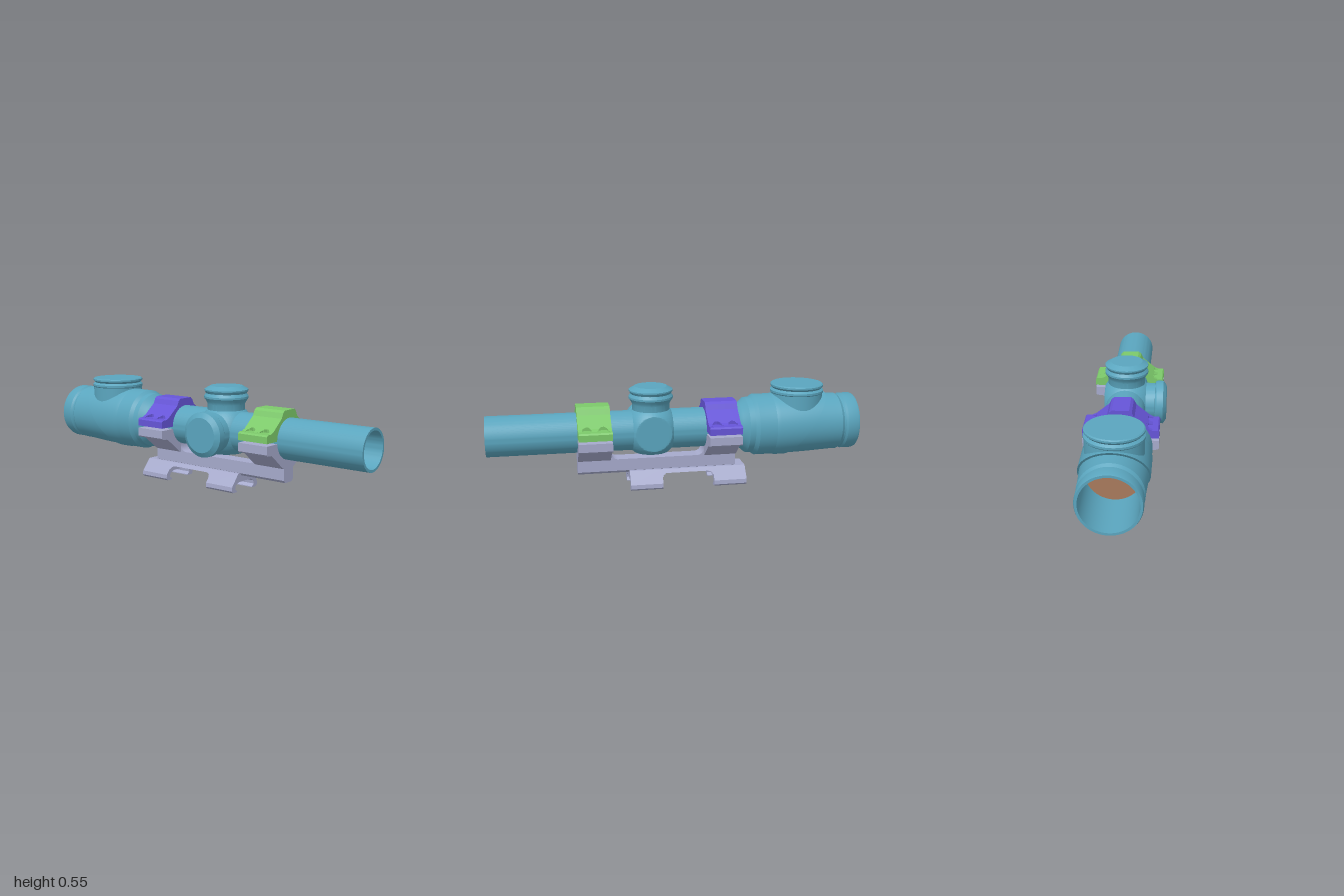
import * as THREE from 'three';
import { toCreasedNormals } from 'three/addons/utils/BufferGeometryUtils.js';

const AXIS_Y = 0.311, AXIS_Z = -0.012;
const mat = (color) => new THREE.MeshStandardMaterial({ color });
const teal = mat(0x5aa5be), lavender = mat(0xa6aacc), purple = mat(0x6655d8);
const green = mat(0x7cc96a), brown = mat(0xa87a5c);

function add(parent, name, geometry, material, x = 0, y = 0, z = 0) {
  const mesh = new THREE.Mesh(geometry, material);
  mesh.name = name;
  mesh.position.set(x, y, z);
  parent.add(mesh);
  return mesh;
}

// profile points are [radius, height along the axis], ascending for an outer skin
function lathe(points, segments = 72) {
  return new THREE.LatheGeometry(points.map(([r, h]) => new THREE.Vector2(r, h)), segments);
}
const crease = (g) => toCreasedNormals(g, 0.45);
const alongX = (g) => crease(g.rotateZ(-Math.PI / 2));

// mirrors half an outline, listed from the top down, into a full loop
function mirrored(half) {
  return [...half, ...half.slice().reverse().map(([u, y]) => [-u, y])];
}
function shapeOf(points) {
  return new THREE.Shape(points.map(([u, y]) => new THREE.Vector2(u, y)));
}
// extrudes a cross-section from x0 to x1
function sweepX(shape, x0, x1) {
  return new THREE.ExtrudeGeometry(shape, { depth: x1 - x0, bevelEnabled: false, curveSegments: 40 })
    .rotateY(Math.PI / 2).translate(x0, 0, AXIS_Z);
}

// upper clamp section; d is how far the screw seat cuts into the slope
function capShape(d) {
  const u = 0.16 - d;
  const top = u < 0.14 ? 0.363 + (0.14 - u) * 0.814 : 0.354 + (0.16 - u) * 0.45;
  const half = [[0.043, 0.458], [0.057, 0.447], [0.07, 0.42]];
  if (u > 0.14) half.push([0.14, 0.363]);
  half.push([u, top], [u, 0.3535], [0.188, 0.353], [0.195, 0.345], [0.195, 0.311]);
  const s = new THREE.Shape();
  half.slice().reverse().forEach(([a, y], i) => (i ? s.lineTo(a, y) : s.moveTo(a, y)));
  half.forEach(([a, y]) => s.lineTo(-a, y));
  s.lineTo(-0.107, AXIS_Y);
  s.absarc(0, AXIS_Y, 0.107, Math.PI, 0, true);
  return s;
}

// upper clamp, sliced along x so that the screw seats are round
function ringCap(name, x0, material) {
  const group = new THREE.Group();
  group.name = name;
  const r = 0.025, steps = 10;
  let x = x0;
  for (const c of [x0 + 0.045, x0 + 0.13]) {
    add(group, 'capBlock', sweepX(capShape(0), x, c - r), material);
    for (let i = 0; i < steps; i++) {
      const a = c - r + (2 * r * i) / steps, b = a + (2 * r) / steps;
      const m = (a + b) / 2 - c;
      add(group, 'screwSeat', sweepX(capShape(0.005 + Math.sqrt(r * r - m * m)), a, b), material);
    }
    x = c + r;
  }
  add(group, 'capBlock', sweepX(capShape(0), x, x0 + 0.175), material);
  return group;
}

function cradleShape() {
  const half = [[0.195, 0.298], [0.195, 0.255], [0.189, 0.248], [0.157, 0.246], [0.138, 0.234],
    [0.062, 0.172], [0.042, 0.16]];
  const s = shapeOf(mirrored(half));
  const a = Math.asin(0.013 / 0.107);
  s.lineTo(-0.107 * Math.cos(a), 0.298);
  s.absarc(0, AXIS_Y, 0.107, Math.PI + a, 2 * Math.PI - a, false);
  return s;
}

export function createModel() {
  const model = new THREE.Group();
  const scope = new THREE.Group();
  scope.name = 'scope';
  const mount = new THREE.Group();
  mount.name = 'mount';
  model.add(scope, mount);

  // hollow tube with eyepiece
  const body = [
    [0.138, -1], [0.15, -1], [0.154, -0.99], [0.154, -0.935], [0.146, -0.925], [0.146, -0.915],
    [0.156, -0.9], [0.156, -0.86], [0.163, -0.72], [0.168, -0.55], [0.167, -0.53], [0.167, -0.435],
    [0.153, -0.415], [0.151, -0.385], [0.125, -0.355], [0.118, -0.345], [0.107, -0.335], [0.107, 1],
    [0.094, 1], [0.094, 0.65], [0, 0.65],
  ];
  add(scope, 'mainTube', alongX(lathe(body)), teal, 0, AXIS_Y, AXIS_Z);
  add(scope, 'eyepieceBore', alongX(lathe([[0, -0.7], [0.138, -0.7], [0.138, -1]])), teal, 0, AXIS_Y, AXIS_Z);
  add(scope, 'frontLens', alongX(lathe([[0.094, 0.66], [0, 0.66]])), brown, 0, AXIS_Y, AXIS_Z);
  add(scope, 'rearLens', alongX(lathe([[0, -0.71], [0.138, -0.71]])), brown, 0, AXIS_Y, AXIS_Z);

  // swollen sleeve with a slanted rear edge
  const sleeve = lathe([[0.15, -0.716], [0.171, -0.716], [0.171, -0.55], [0.167, -0.53]])
    .rotateZ(-Math.PI / 2);
  const sp = sleeve.attributes.position;
  for (let i = 0; i < sp.count; i++) {
    if (sp.getX(i) < -0.65) sp.setX(i, -0.716 - 0.698 * sp.getY(i));
  }
  add(scope, 'slantedSleeve', crease(sleeve), teal, 0, AXIS_Y, AXIS_Z);

  // capped boss on the eyepiece
  add(scope, 'eyepieceCap', crease(lathe([
    [0.141, 0.35], [0.141, 0.485], [0.145, 0.49], [0.145, 0.501], [0.133, 0.511],
    [0.143, 0.522], [0.143, 0.531], [0.137, 0.536], [0, 0.536],
  ])), teal, -0.68, 0, AXIS_Z);

  // turret housing: a ball flattened on six sides
  const ball = new THREE.SphereGeometry(0.151, 128, 96);
  const bp = ball.attributes.position;
  const flat = (v) => THREE.MathUtils.clamp(v, -0.117, 0.117);
  for (let i = 0; i < bp.count; i++) {
    bp.setXYZ(i, flat(bp.getX(i)), flat(bp.getY(i)), flat(bp.getZ(i)));
  }
  add(scope, 'turretHousing', crease(ball), teal, 0.13, AXIS_Y, AXIS_Z);

  // top and side turrets
  add(scope, 'topTurret', crease(lathe([
    [0.1, 0.4], [0.1, 0.455], [0.107, 0.47], [0.118, 0.486], [0.118, 0.496], [0.108, 0.511],
    [0.117, 0.525], [0.117, 0.532], [0.086, 0.55], [0, 0.55],
  ])), teal, 0.13, 0, AXIS_Z);
  add(scope, 'sideTurret', crease(lathe([
    [0.105, 0.08], [0.105, 0.146], [0.113, 0.148], [0.118, 0.156], [0.118, 0.191],
    [0.092, 0.208], [0, 0.208],
  ]).rotateX(Math.PI / 2)), teal, 0.13, AXIS_Y, 0);

  // ring clamps and cradles
  mount.add(ringCap('rearRingCap', -0.33, purple), ringCap('frontRingCap', 0.355, green));
  for (const [name, x0] of [['rearCradle', -0.33], ['frontCradle', 0.355]]) {
    add(mount, name, sweepX(cradleShape(), x0, x0 + 0.175), lavender);
  }

  // beam joining the cradles, with filleted corners
  add(mount, 'beam', sweepX(shapeOf(mirrored([[0.042, 0.163], [0.042, 0.099], [0.028, 0.085]])),
    -0.33, 0.53), lavender);
  for (const [x, dir] of [[-0.155, 1], [0.355, -1]]) {
    const f = new THREE.Shape();
    f.moveTo(0, 0.163);
    f.lineTo(dir * 0.04, 0.163);
    f.quadraticCurveTo(dir * 0.004, 0.165, 0, 0.203);
    add(mount, 'beamFillet', new THREE.ExtrudeGeometry(f, { depth: 0.084, bevelEnabled: false }),
      lavender, x, 0, AXIS_Z - 0.042);
  }

  // rail base: two dovetail feet and an arched bridge
  const foot = shapeOf(mirrored([
    [0.057, 0.098], [0.11, 0.034], [0.112, 0.012], [0.102, 0.002], [0.066, 0.002], [0.066, 0.006],
    [0.083, 0.019], [0.081, 0.037], [0.05, 0.052],
  ]));
  const bridge = (h) => shapeOf(mirrored([[0.057, 0.098], [0.057 + (0.098 - h) * 0.828, h]]));
  add(mount, 'rearFoot', sweepX(foot, -0.38, -0.2), lavender);
  add(mount, 'frontFoot', sweepX(foot, 0.08, 0.255), lavender);
  add(mount, 'bridge', sweepX(bridge(0.08), -0.17, 0.05), lavender);
  const n = 6, w = 0.03 / n;
  for (let i = 0; i < n; i++) {
    const t = 1 - (i + 0.5) / n;
    const h = 0.053 + 0.027 * Math.sqrt(1 - t * t);
    add(mount, 'bridgeArch', sweepX(bridge(h), -0.2 + i * w, -0.2 + (i + 1) * w), lavender);
    add(mount, 'bridgeArch', sweepX(bridge(h), 0.08 - (i + 1) * w, 0.08 - i * w), lavender);
  }
  return model;
}
